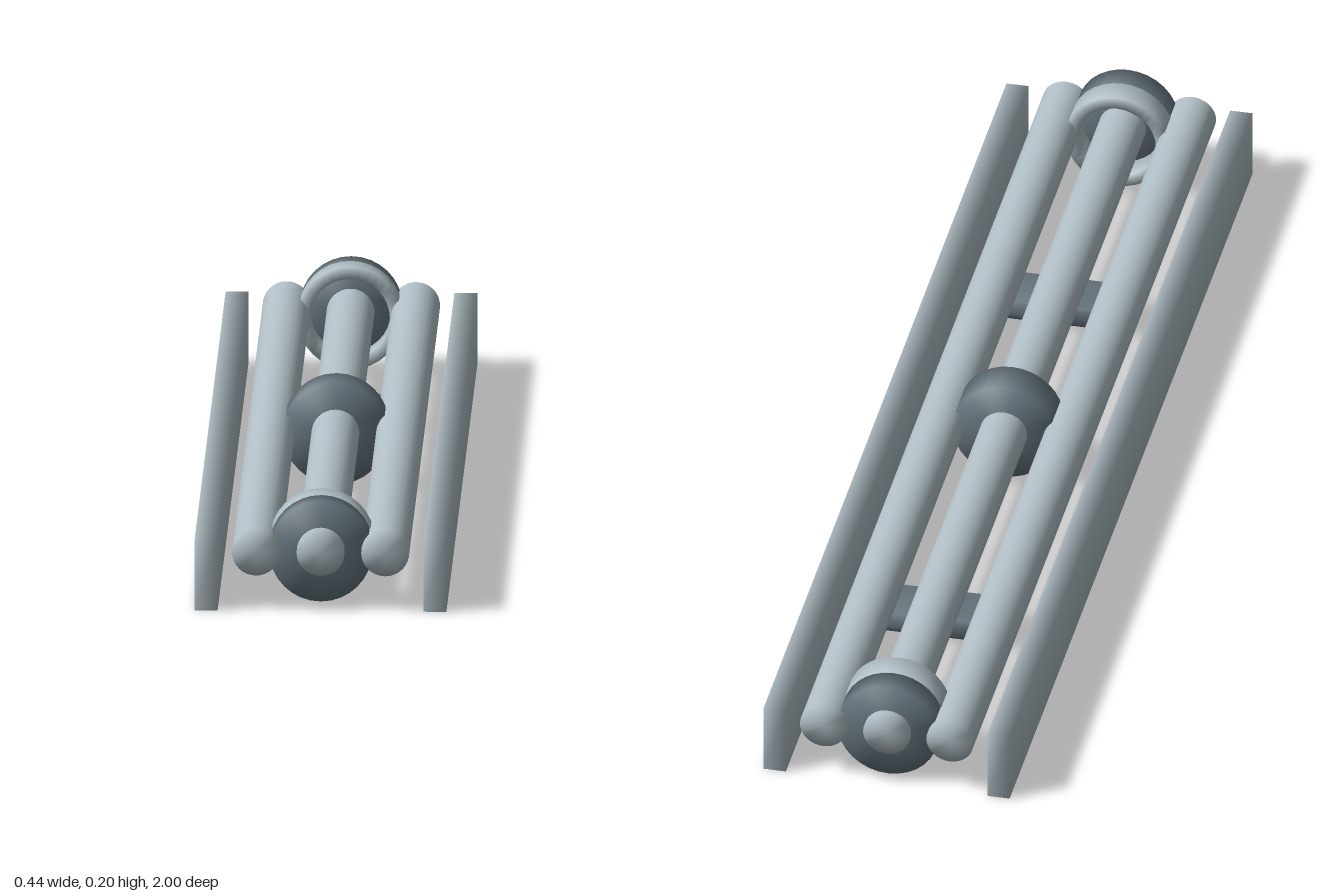
import * as THREE from 'three';
import { mergeVertices } from 'three/addons/utils/BufferGeometryUtils.js';

const AXIS_Y = 0.105;

// Share vertices so shading runs softly across every edge
function soften(geometry) {
  geometry.deleteAttribute('uv');
  geometry.deleteAttribute('normal');
  const merged = mergeVertices(geometry, 1e-4);
  merged.computeVertexNormals();
  return merged;
}

// Solid round bar along z
function bar(radius, length) {
  return soften(new THREE.CylinderGeometry(radius, radius, length, 32).rotateX(Math.PI / 2));
}

// Hollow collar along z
function collar(outer, inner, length) {
  const h = length / 2;
  const profile = [[inner, -h], [outer, -h], [outer, h], [inner, h], [inner, -h]];
  const points = profile.map(([r, y]) => new THREE.Vector2(r, y));
  return soften(new THREE.LatheGeometry(points, 32).rotateX(Math.PI / 2));
}

// Flat block with chamfered long edges, centred on the origin
function chamferedBlock(w, h, d, c) {
  const x = w / 2, y = h / 2;
  const shape = new THREE.Shape([
    [-x + c, -y], [x - c, -y], [x, -y + c], [x, y - c],
    [x - c, y], [-x + c, y], [-x, y - c], [-x, -y + c],
  ].map(([px, py]) => new THREE.Vector2(px, py)));
  return soften(new THREE.ExtrudeGeometry(shape, { depth: d, bevelEnabled: false }).translate(0, 0, -d / 2));
}

export function createModel() {
  const model = new THREE.Group();
  model.name = 'railAssembly';

  const steel = new THREE.MeshStandardMaterial({ color: 0xb0bec5 });
  steel.name = 'lightSteel';
  const slate = new THREE.MeshStandardMaterial({ color: 0x64737c });
  slate.name = 'darkSlate';

  function add(name, geometry, material, x, y, z) {
    const mesh = new THREE.Mesh(geometry, material);
    mesh.name = name;
    mesh.position.set(x, y, z);
    model.add(mesh);
  }

  // Central shaft and middle hub
  add('centralShaft', bar(0.042, 2), steel, 0, AXIS_Y, 0);
  add('middleHub', bar(0.092, 0.07), slate, 0, AXIS_Y, 0);

  // Guide rods and side plates, mirrored left and right
  const rod = bar(0.042, 2);
  const plate = soften(new THREE.BoxGeometry(0.04, 0.128, 2));
  for (const side of [-1, 1]) {
    const label = side > 0 ? 'left' : 'right';
    add(label + 'GuideRod', rod, steel, side * 0.113, AXIS_Y, 0);
    add(label + 'SidePlate', plate, steel, side * 0.2, 0.064, 0);
  }

  // End discs, collars and cross brackets, mirrored front and back
  const disc = bar(0.09, 0.047);
  const ring = collar(0.092, 0.07, 0.047);
  const bracket = chamferedBlock(0.22, 0.036, 0.094, 0.01);
  for (const end of [-1, 1]) {
    const label = end > 0 ? 'front' : 'back';
    add(label + 'EndDisc', disc, slate, 0, AXIS_Y, end * 0.966);
    add(label + 'Collar', ring, steel, 0, AXIS_Y, end * 0.919);
    add(label + 'CrossBracket', bracket, slate, 0, 0.029, end * 0.5);
  }

  return model;
}
